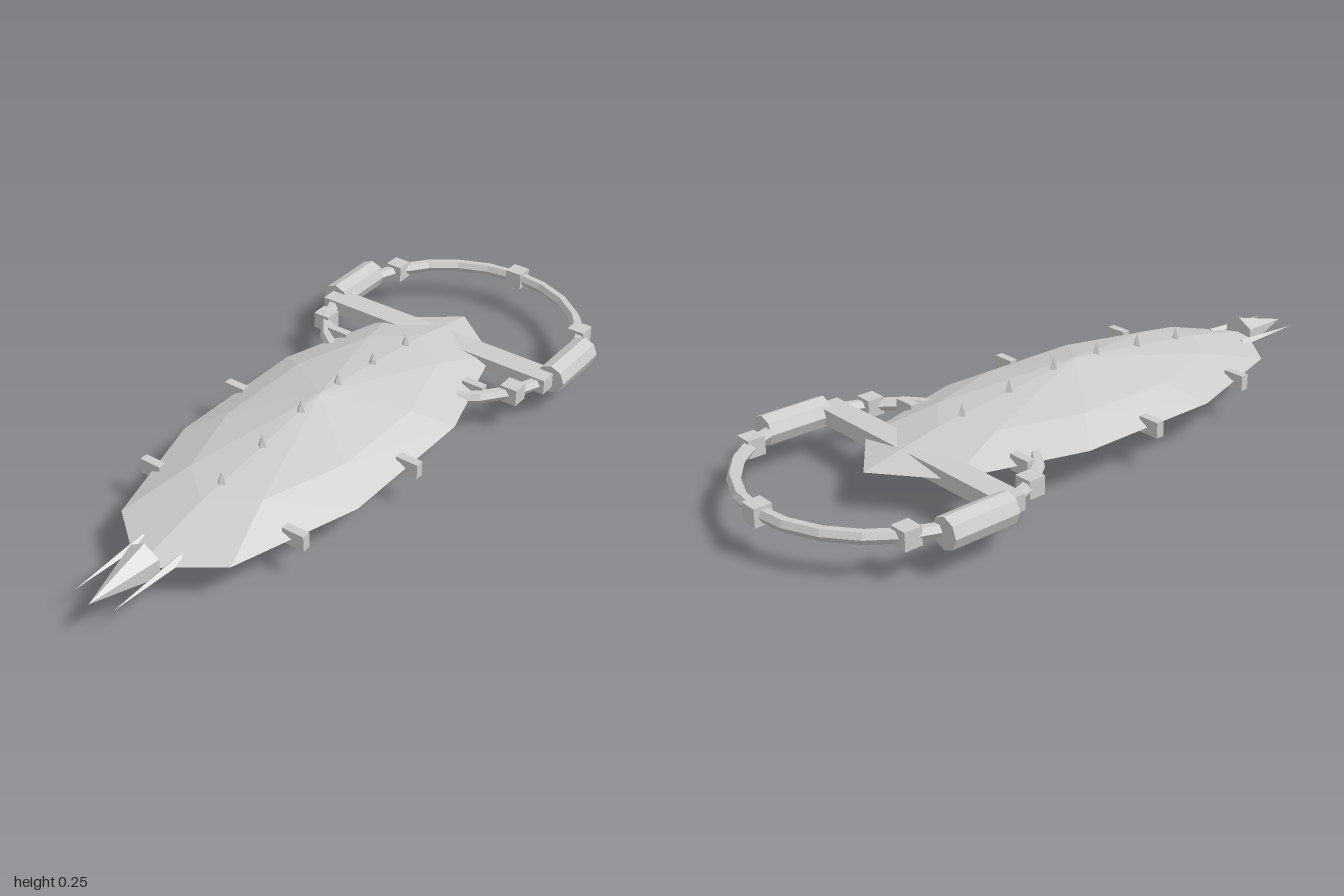
import * as THREE from 'three';

const MID = 0.115; // height of the hull's sharp edge
const mat = new THREE.MeshStandardMaterial({ color: 0xcccccc, flatShading: true });

export function createModel() {
  const model = new THREE.Group();
  const add = (name, geometry, x, y, z) => {
    const mesh = new THREE.Mesh(geometry, mat);
    mesh.name = name;
    mesh.position.set(x, y, z);
    model.add(mesh);
    return mesh;
  };
  const box = (name, w, h, d, x, y, z) => add(name, new THREE.BoxGeometry(w, h, d), x, y, z);

  // Lens-shaped hull with a ten-sided outline, corners on the long axis
  const profile = [[0, -1], [0.667, -0.46], [1, 0], [0.667, 0.46], [0, 1]]
    .map(([r, h]) => new THREE.Vector2(r, h));
  const hull = new THREE.LatheGeometry(profile, 10);
  hull.scale(0.315, MID, 0.745);
  add('hull', hull, 0, MID, 0.085);

  // Six-sided nose spike, flanked by two thin spikes
  const nose = new THREE.ConeGeometry(0.055, 0.2, 6);
  nose.rotateX(Math.PI / 2);
  add('noseSpike', nose, 0, MID, 0.895);
  for (const s of [-1, 1]) {
    const spike = new THREE.ConeGeometry(0.015, 0.24, 4);
    spike.rotateX(Math.PI / 2);
    add('sideNoseSpike', spike, s * 0.064, MID, 0.855);
  }

  // Row of small spikes along the back
  for (let i = 0; i < 6; i++) {
    const z = -0.332 + i * 0.1667;
    const tip = [0.213, 0.235, 0.255][Math.min(i, 5 - i)];
    add('dorsalSpike', new THREE.ConeGeometry(0.018, 0.05, 4), 0, tip - 0.025, z);
  }

  // Small fins on the hull's edge
  for (const s of [-1, 1]) {
    for (const [x, z] of [[0.243, 0.503], [0.302, 0.085], [0.243, -0.332]]) {
      box('edgeFin', 0.068, 0.046, 0.025, s * x, MID + 0.002, z);
    }
  }

  // Rear ring with block joints
  const ringZ = -0.585, ringR = 0.39;
  const ring = new THREE.TorusGeometry(ringR, 0.019, 6, 24);
  ring.rotateX(Math.PI / 2);
  add('ring', ring, 0, MID, ringZ);
  for (let i = 0; i < 6; i++) {
    const a = Math.PI / 6 + i * Math.PI / 3;
    box('ringJoint', 0.054, 0.052, 0.052, ringR * Math.cos(a), MID, ringZ + ringR * Math.sin(a));
  }

  // Crossbeam carrying the ring, and the eight-sided engine pods
  box('crossbeam', 0.8, 0.046, 0.074, 0, MID, -0.498);
  for (const s of [-1, 1]) {
    const pod = new THREE.CylinderGeometry(0.045, 0.045, 0.2, 8);
    pod.rotateX(Math.PI / 2);
    add('enginePod', pod, s * 0.392, MID, -0.611);
  }
  return model;
}
